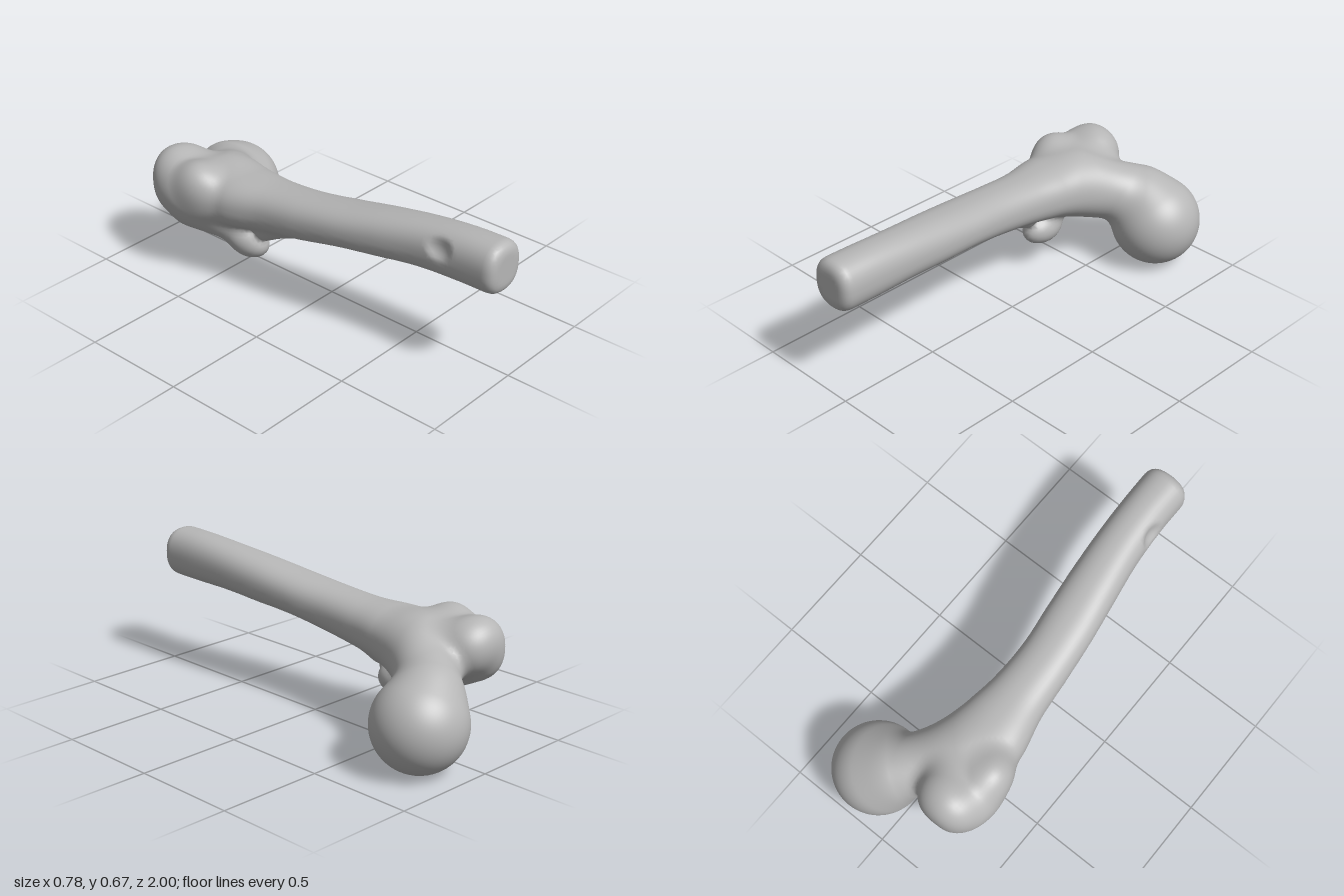
import * as THREE from 'three';

// Shaft stations: z, centre x, centre y, half width, half height
const STATIONS = [
  [-0.75, -0.14, 0.40, 0.16, 0.13], [-0.6, -0.145, 0.40, 0.17, 0.135],
  [-0.4, -0.15, 0.42, 0.172, 0.13], [-0.2, -0.143, 0.437, 0.137, 0.113],
  [0, -0.136, 0.46, 0.125, 0.105], [0.2, -0.115, 0.49, 0.125, 0.10],
  [0.4, -0.09, 0.515, 0.12, 0.106], [0.6, -0.068, 0.537, 0.112, 0.11],
  [0.8, -0.057, 0.548, 0.109, 0.117], [1.0, -0.056, 0.552, 0.11, 0.118],
];
const sectionAt = new THREE.CubicInterpolant(
  STATIONS.map((s) => s[0]), STATIONS.flatMap((s) => s.slice(1)), 4, new Float64Array(4));

// Smooth union and smooth intersection of two distances
function blend(a, b, k) {
  const h = Math.max(k - Math.abs(a - b), 0) / k;
  return Math.min(a, b) - h * h * k / 4;
}
const cut = (a, b, k) => -blend(-a, -b, k);

function ellipsoid(x, y, z, c, r) {
  const px = (x - c[0]) / r[0], py = (y - c[1]) / r[1], pz = (z - c[2]) / r[2];
  const k0 = Math.hypot(px, py, pz);
  const k1 = Math.hypot(px / r[0], py / r[1], pz / r[2]);
  return k1 < 1e-6 ? -Math.min(...r) : k0 * (k0 - 1) / k1;
}

// Capsule whose radius changes from ra to rb
function capsule(x, y, z, a, b, ra, rb) {
  const d = [b[0] - a[0], b[1] - a[1], b[2] - a[2]];
  const p = [x - a[0], y - a[1], z - a[2]];
  const dot = p[0] * d[0] + p[1] * d[1] + p[2] * d[2];
  const t = THREE.MathUtils.clamp(dot / (d[0] ** 2 + d[1] ** 2 + d[2] ** 2), 0, 1);
  return Math.hypot(p[0] - d[0] * t, p[1] - d[1] * t, p[2] - d[2] * t) - (ra + (rb - ra) * t);
}

// Long shaft, sawn flat at the front end with a small dent in its side
function shaft(x, y, z) {
  const [cx, cy, rx, ry] = sectionAt.evaluate(THREE.MathUtils.clamp(z, -0.75, 1));
  const u = Math.abs(x - cx) / rx, v = Math.abs(y - cy) / ry;
  const section = (Math.pow(u ** 2.35 + v ** 2.35, 1 / 2.35) - 1) * Math.min(rx, ry);
  let d = cut(section, z - 1, 0.055);
  d = cut(d, -0.62 - z, 0.1);
  return cut(d, -ellipsoid(x, y, z, [-0.175, 0.595, 0.73], [0.035, 0.05, 0.055]), 0.025);
}

function neck(x, y, z) {
  return capsule(x, y, z, [0.09, 0.325, -0.76], [-0.12, 0.40, -0.54], 0.143, 0.135);
}

function head(x, y, z) {
  return ellipsoid(x, y, z, [0.178, 0.213, -0.788], [0.212, 0.213, 0.212]);
}

// Large outer bump: body, rear knob, front knob and the saddle joining them
function greaterTrochanter(x, y, z) {
  const body = ellipsoid(x, y, z, [-0.255, 0.405, -0.65], [0.132, 0.15, 0.2]);
  const rear = ellipsoid(x, y, z, [-0.215, 0.47, -0.755], [0.125, 0.11, 0.108]);
  const front = ellipsoid(x, y, z, [-0.28, 0.475, -0.56], [0.095, 0.105, 0.11]);
  const saddle = ellipsoid(x, y, z, [-0.165, 0.44, -0.71], [0.115, 0.12, 0.135]);
  return blend(blend(blend(body, rear, 0.04), front, 0.04), saddle, 0.04);
}

// Small lower bump with its ridge and crest
function lesserTrochanter(x, y, z) {
  const bump = ellipsoid(x, y, z, [-0.165, 0.205, -0.365], [0.074, 0.074, 0.11]);
  const ridge = capsule(x, y, z, [-0.15, 0.37, -0.1], [-0.165, 0.31, -0.25], 0.04, 0.055);
  const crest = capsule(x, y, z, [-0.19, 0.26, -0.42], [-0.255, 0.32, -0.63], 0.068, 0.085);
  return blend(blend(bump, ridge, 0.04), crest, 0.05);
}

const PARTS = { shaft, neck, head, greaterTrochanter, lesserTrochanter };

function bone(x, y, z) {
  let d = blend(shaft(x, y, z), neck(x, y, z), 0.11);
  d = blend(d, greaterTrochanter(x, y, z), 0.06);
  d = blend(d, lesserTrochanter(x, y, z), 0.05);
  return blend(d, head(x, y, z), 0.06);
}

function gradient(p) {
  const e = 0.004, [x, y, z] = p;
  return [
    bone(x + e, y, z) - bone(x - e, y, z),
    bone(x, y + e, z) - bone(x, y - e, z),
    bone(x, y, z + e) - bone(x, y, z - e),
  ].map((v) => v / (2 * e));
}

// Skin the blended form with quads on a regular grid
function skin(min, max, step) {
  const n = min.map((v, i) => Math.ceil((max[i] - v) / step) + 1);
  const stride = [1, n[0], n[0] * n[1]];
  const at = (i, j, k) => i + j * stride[1] + k * stride[2];
  const field = new Float32Array(n[0] * n[1] * n[2]);
  for (let k = 0; k < n[2]; k++) for (let j = 0; j < n[1]; j++) for (let i = 0; i < n[0]; i++) {
    field[at(i, j, k)] = bone(min[0] + i * step, min[1] + j * step, min[2] + k * step);
  }
  const points = [], normals = [], cell = new Map(), quads = [];

  // One point per crossed cell, slid onto the surface
  for (let k = 0; k < n[2] - 1; k++) for (let j = 0; j < n[1] - 1; j++) for (let i = 0; i < n[0] - 1; i++) {
    const c = at(i, j, k), sum = [0, 0, 0];
    let count = 0;
    for (let corner = 0; corner < 8; corner++) for (let a = 0; a < 3; a++) {
      if (corner >> a & 1) continue;
      const o = [corner & 1, corner >> 1 & 1, corner >> 2 & 1];
      const s = c + at(...o), f0 = field[s], f1 = field[s + stride[a]];
      if ((f0 < 0) === (f1 < 0)) continue;
      o[a] += f0 / (f0 - f1);
      o.forEach((v, m) => { sum[m] += v; });
      count++;
    }
    if (!count) continue;
    const p = [i, j, k].map((v, m) => min[m] + (v + sum[m] / count) * step);
    for (let pass = 0; pass < 2; pass++) {
      const g = gradient(p), len2 = g[0] ** 2 + g[1] ** 2 + g[2] ** 2 + 1e-6;
      const move = THREE.MathUtils.clamp(bone(...p) / len2, -step / 2, step / 2);
      g.forEach((v, m) => { p[m] -= v * move; });
    }
    cell.set(c, points.length);
    points.push(p);
    normals.push(new THREE.Vector3(...gradient(p)).normalize().toArray());
  }

  // One quad per crossed grid edge
  for (let k = 1; k < n[2] - 1; k++) for (let j = 1; j < n[1] - 1; j++) for (let i = 1; i < n[0] - 1; i++) {
    const c = at(i, j, k);
    for (let a = 0; a < 3; a++) {
      const inside = field[c] < 0;
      if (inside === (field[c + stride[a]] < 0)) continue;
      const u = stride[(a + 1) % 3], v = stride[(a + 2) % 3];
      const quad = [c - u - v, c - v, c, c - u].map((q) => cell.get(q));
      quads.push(inside ? quad : quad.reverse());
    }
  }
  return { points, normals, quads };
}

export function createModel() {
  const group = new THREE.Group();
  group.name = 'upperThighBone';
  const boneGrey = new THREE.MeshStandardMaterial({ color: 0xb6b6b6 });
  boneGrey.name = 'boneGrey';

  const { points, normals, quads } = skin([-0.46, -0.06, -1.06], [0.46, 0.74, 1.06], 0.018);

  // Give each quad to the part it lies nearest to
  const indices = Object.fromEntries(Object.keys(PARTS).map((name) => [name, []]));
  for (const [a, b, c, d] of quads) {
    const mid = [0, 1, 2].map((m) => (points[a][m] + points[c][m]) / 2);
    let best = null, least = Infinity;
    for (const [name, distance] of Object.entries(PARTS)) {
      const value = distance(...mid);
      if (value < least) { least = value; best = name; }
    }
    indices[best].push(a, b, c, a, c, d);
  }

  for (const [name, index] of Object.entries(indices)) {
    const shared = new THREE.BufferGeometry();
    shared.setAttribute('position', new THREE.Float32BufferAttribute(points.flat(), 3));
    shared.setAttribute('normal', new THREE.Float32BufferAttribute(normals.flat(), 3));
    shared.setIndex(index);
    const mesh = new THREE.Mesh(shared.toNonIndexed(), boneGrey);
    mesh.name = name;
    group.add(mesh);
  }
  return group;
}
